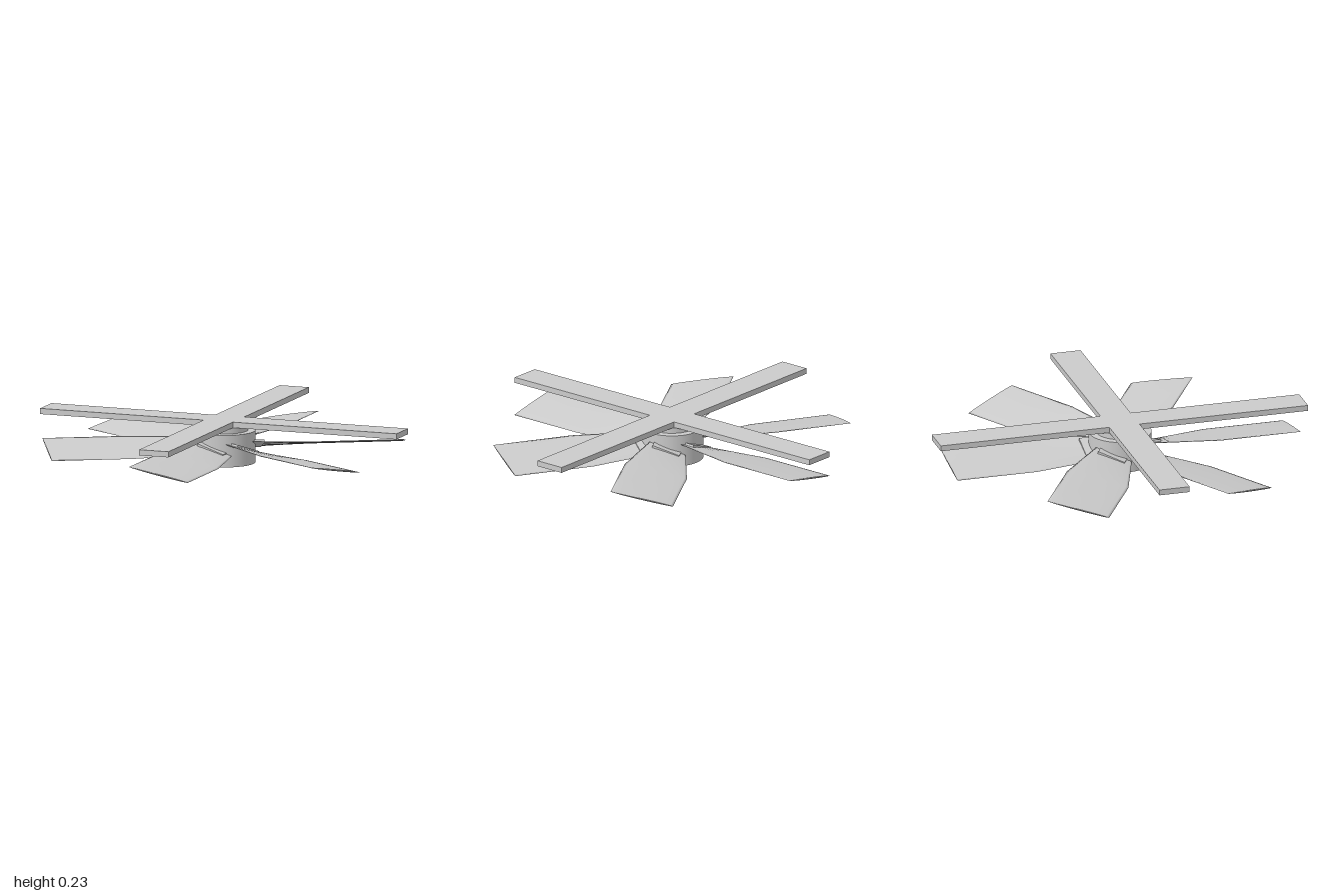
import * as THREE from 'three';

const material = new THREE.MeshStandardMaterial({ color: 0xcccccc });

function addMesh(parent, name, geometry, y = 0) {
  const mesh = new THREE.Mesh(geometry, material);
  mesh.name = name;
  mesh.position.y = y;
  parent.add(mesh);
  return mesh;
}

// Thin pitched blade along +z: lens sections lofted from [radius, half width]
function bladeGeometry() {
  const rows = [[0.12, 0.092], [0.16, 0.1], [0.33, 0.133], [0.5, 0.165], [0.72, 0.165], [0.933, 0.165]];
  const sides = 16, rise = 0.031, thick = 0.005;
  const positions = [], index = [];
  for (const [r, w] of rows) {
    for (let i = 0; i < sides; i++) {
      const a = (i / sides) * Math.PI * 2;
      positions.push(Math.cos(a) * w, -Math.cos(a) * rise + Math.sin(a) * thick, r);
    }
  }
  for (let k = 0; k < rows.length - 1; k++) {
    for (let i = 0; i < sides; i++) {
      const a = k * sides + i, b = k * sides + ((i + 1) % sides);
      index.push(a, b, b + sides, a, b + sides, a + sides);
    }
  }
  // End caps
  const last = (rows.length - 1) * sides;
  for (let i = 1; i < sides - 1; i++) {
    index.push(0, i + 1, i, last, last + i, last + i + 1);
  }
  const geometry = new THREE.BufferGeometry();
  geometry.setAttribute('position', new THREE.Float32BufferAttribute(positions, 3));
  geometry.setIndex(index);
  geometry.computeVertexNormals();
  return geometry;
}

// Plus-shaped bar, extruded upward
function crossGeometry() {
  const h = 0.082, shape = new THREE.Shape();
  const corner = [[1, -h], [1, h], [h, h]];
  const points = [];
  for (let q = 0; q < 4; q++) {
    for (const [x, y] of corner) {
      points.push(new THREE.Vector2(x, y).rotateAround(new THREE.Vector2(), q * Math.PI / 2));
    }
  }
  shape.setFromPoints(points);
  return new THREE.ExtrudeGeometry(shape, { depth: 0.03, bevelEnabled: false }).rotateX(-Math.PI / 2);
}

export function createModel() {
  const model = new THREE.Group();
  model.name = 'fan';

  // Hub and stepped collar
  addMesh(model, 'hub', new THREE.CylinderGeometry(0.165, 0.165, 0.17, 48), 0.085);
  addMesh(model, 'collar', new THREE.CylinderGeometry(0.125, 0.125, 0.03, 48), 0.185);

  // Mounting cross on top
  addMesh(model, 'mountingCross', crossGeometry(), 0.2);

  // Six blades, each with a pitched root bracket
  const blade = bladeGeometry();
  const bracket = new THREE.BoxGeometry(0.15, 0.018, 0.1);
  for (let i = 0; i < 6; i++) {
    const arm = new THREE.Group();
    arm.name = 'bladeArm';
    arm.rotation.y = i * Math.PI / 3;
    model.add(arm);
    addMesh(arm, 'blade', blade, 0.09);
    const root = addMesh(arm, 'bladeBracket', bracket, 0.093);
    root.position.z = 0.153;
    root.rotation.z = -0.33;
  }
  return model;
}
